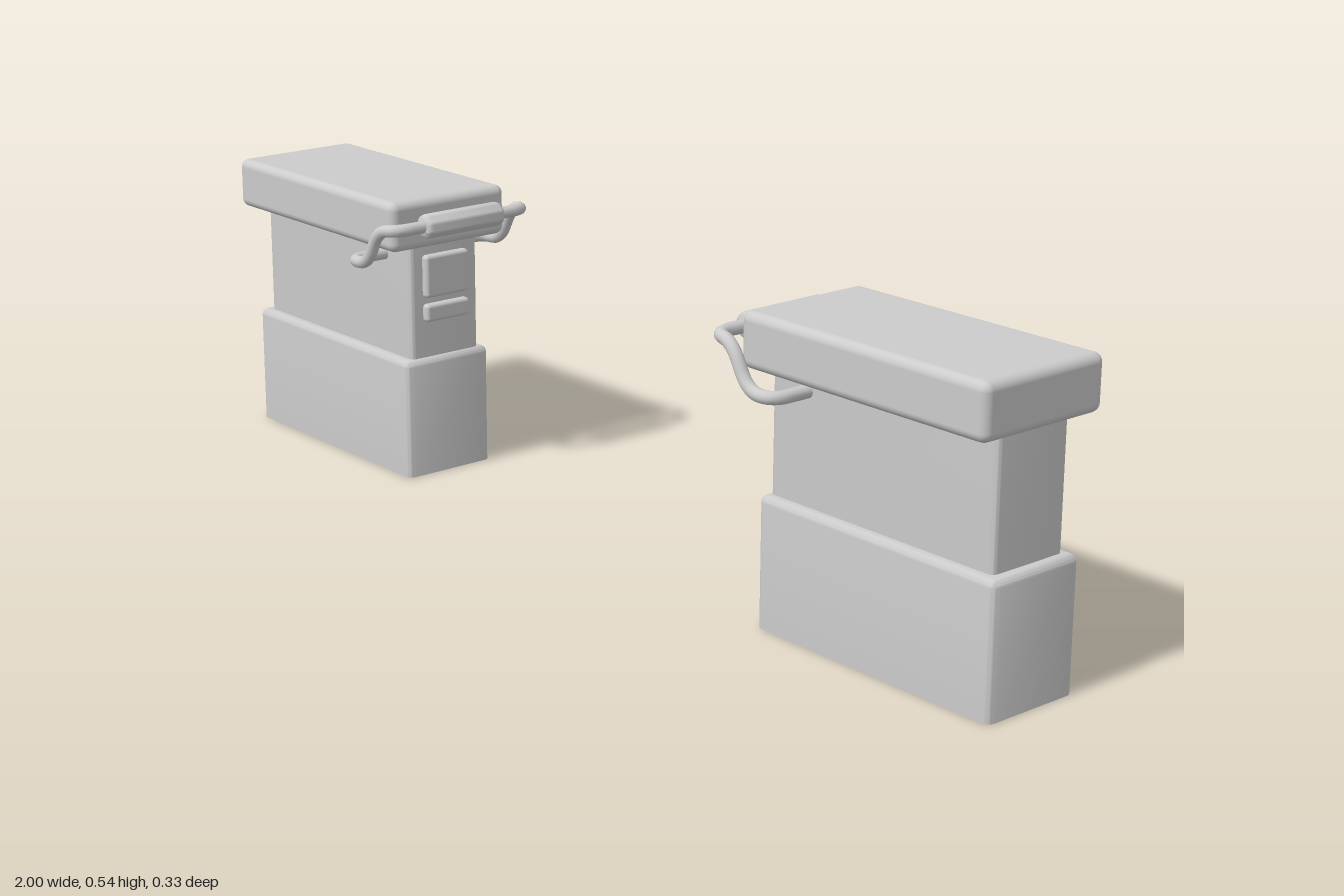
import * as THREE from 'three';
import { RoundedBoxGeometry } from 'three/addons/geometries/RoundedBoxGeometry.js';
import { toCreasedNormals } from 'three/addons/utils/BufferGeometryUtils.js';

const mat = new THREE.MeshStandardMaterial({ color: 0xcccccc });
const openMat = new THREE.MeshStandardMaterial({ color: 0xcccccc, side: THREE.DoubleSide });

function add(parent, name, geometry, x = 0, y = 0, z = 0, material = mat) {
  const mesh = new THREE.Mesh(geometry, material);
  mesh.name = name;
  mesh.position.set(x, y, z);
  parent.add(mesh);
  return mesh;
}

// Rounded rectangle rings stacked by [inset, y]; the bottom stays open, the top is closed
function shell(w, d, r, rings) {
  const steps = 6, n = 4 * (steps + 1), pos = [], idx = [];
  for (const [inset, y] of rings) {
    const rr = Math.max(r - inset, 0.001);
    const hx = w / 2 - inset - rr, hz = d / 2 - inset - rr;
    for (let c = 0; c < 4; c++) {
      const sx = c === 0 || c === 3 ? 1 : -1, sz = c < 2 ? 1 : -1;
      for (let i = 0; i <= steps; i++) {
        const a = (c + i / steps) * Math.PI / 2;
        pos.push(sx * hx + rr * Math.cos(a), y, sz * hz + rr * Math.sin(a));
      }
    }
  }
  for (let k = 0; k < rings.length - 1; k++) {
    for (let i = 0; i < n; i++) {
      const a = k * n + i, b = k * n + (i + 1) % n;
      idx.push(a, a + n, b, b, a + n, b + n);
    }
  }
  const top = (rings.length - 1) * n;
  pos.push(0, rings[rings.length - 1][1], 0);
  for (let i = 0; i < n; i++) idx.push(top + i, top + n, top + (i + 1) % n);
  const g = new THREE.BufferGeometry();
  g.setAttribute('position', new THREE.Float32BufferAttribute(pos, 3));
  g.setIndex(idx);
  return toCreasedNormals(g, 0.6);
}

// Polyline with each inner corner replaced by a small curve
function roundedPath(points, r) {
  const path = new THREE.CurvePath();
  let last = points[0];
  for (let i = 1; i < points.length - 1; i++) {
    const p = points[i];
    const toward = (q) => p.clone().add(q.clone().sub(p).setLength(Math.min(r, p.distanceTo(q) * 0.48)));
    const a = toward(points[i - 1]), b = toward(points[i + 1]);
    path.add(new THREE.LineCurve3(last, a));
    path.add(new THREE.QuadraticBezierCurve3(a, p, b));
    last = b;
  }
  path.add(new THREE.LineCurve3(last, points[points.length - 1]));
  return path;
}

function createPost() {
  const post = new THREE.Group();

  // Hollow base with softened upper edge
  const bevel = [[0, 0]];
  for (let i = 0; i <= 5; i++) {
    const a = i / 5 * Math.PI / 2;
    bevel.push([0.013 * (1 - Math.cos(a)), 0.217 + 0.013 * Math.sin(a)]);
  }
  add(post, 'base', shell(0.514, 0.191, 0.014, bevel), 0.743, 0, 0, openMat);

  // Narrower column and overhanging cap
  add(post, 'column', shell(0.484, 0.156, 0.01, [[0, 0.22], [0, 0.46]]), 0.738, 0, 0, openMat);
  add(post, 'cap', new RoundedBoxGeometry(0.525, 0.095, 0.262, 4, 0.016), 0.7375, 0.4945, 0);

  // Raised plates on the inner face
  add(post, 'upperPlate', new RoundedBoxGeometry(0.024, 0.082, 0.1, 3, 0.007), 0.494, 0.388, 0);
  add(post, 'lowerPlate', new RoundedBoxGeometry(0.024, 0.034, 0.1, 3, 0.007), 0.494, 0.317, 0);

  // Bent wire handle, mirrored front to back
  const half = [
    [0.578, 0.422, 0.07], [0.578, 0.422, 0.155], [0.522, 0.424, 0.155],
    [0.485, 0.495, 0.155], [0.438, 0.5, 0.148],
  ];
  const points = [...half, ...half.slice().reverse().map(([x, y, z]) => [x, y, -z])]
    .map((p) => new THREE.Vector3(...p));
  const handle = new THREE.Group();
  handle.name = 'handle';
  post.add(handle);
  add(handle, 'handleWire', new THREE.TubeGeometry(roundedPath(points, 0.035), 160, 0.0115, 12, false));

  // Round grip sleeve with softened ends
  const profile = [[0, -0.088], [0.016, -0.088], [0.021, -0.085], [0.023, -0.079],
    [0.023, 0.079], [0.021, 0.085], [0.016, 0.088], [0, 0.088]].map((p) => new THREE.Vector2(...p));
  const grip = add(handle, 'handleGrip', toCreasedNormals(new THREE.LatheGeometry(profile, 24), 0.8), 0.438, 0.5, 0);
  grip.rotation.x = Math.PI / 2;
  return post;
}

export function createModel() {
  const model = new THREE.Group();
  model.name = 'handledPosts';
  // Two matching posts facing each other
  ['leftPost', 'rightPost'].forEach((name, i) => {
    const post = createPost();
    post.name = name;
    post.rotation.y = i * Math.PI;
    model.add(post);
  });
  return model;
}
